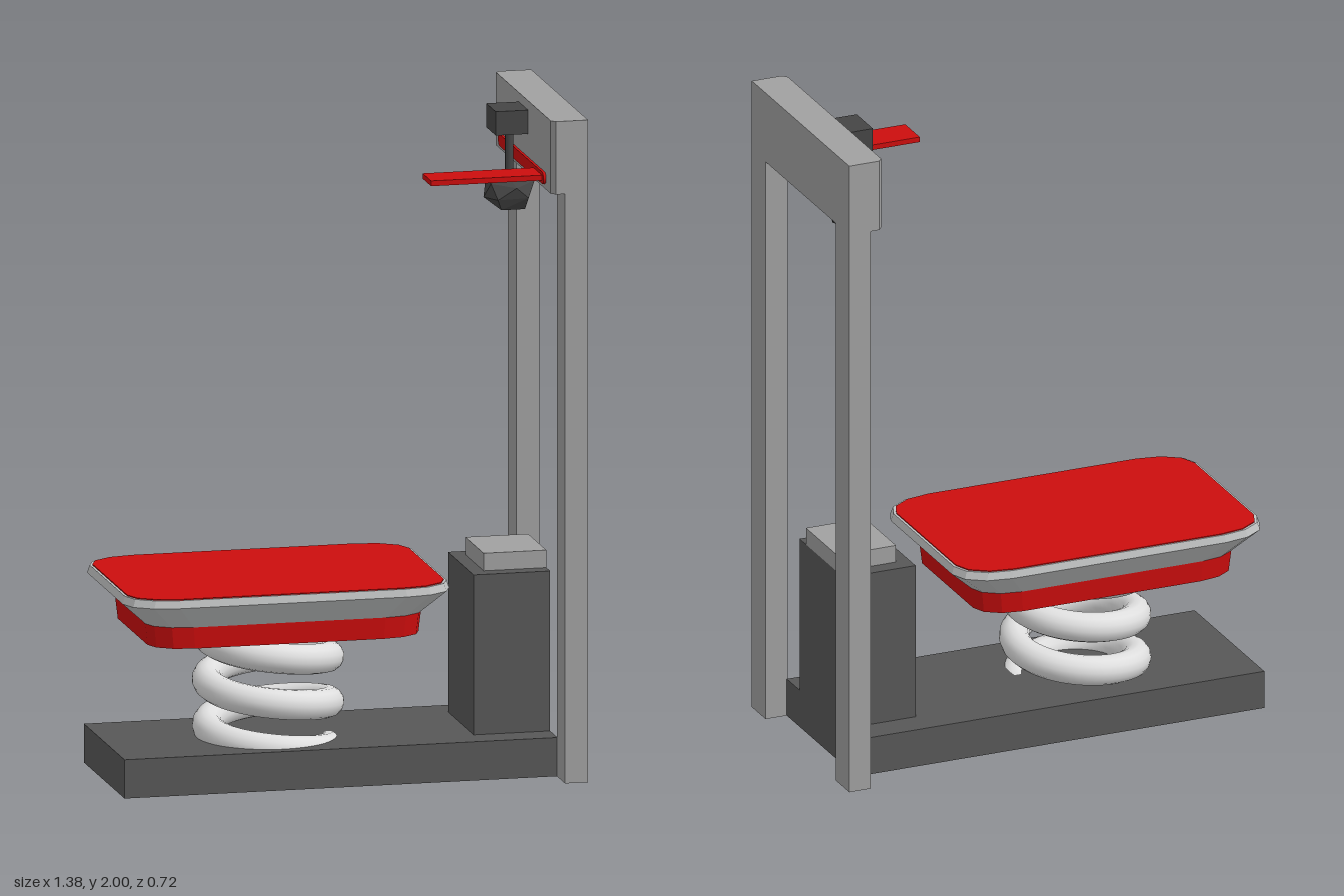
import * as THREE from 'three';
import { ConvexGeometry } from 'three/addons/geometries/ConvexGeometry.js';

function material(name, color) {
  const m = new THREE.MeshStandardMaterial({ color });
  m.name = name;
  return m;
}

// Rounded tray outline with faceted corners, as [x, z] offsets from its centre
function trayOutline() {
  const halfX = 0.495, halfZ = 0.325, cornerX = 0.15, cornerZ = 0.1, steps = 3;
  const points = [];
  [[1, 1], [-1, 1], [-1, -1], [1, -1]].forEach(([sx, sz], corner) => {
    for (let i = 0; i <= steps; i++) {
      const a = (corner + i / steps) * Math.PI / 2;
      points.push([
        sx * (halfX - cornerX) + Math.cos(a) * cornerX,
        sz * (halfZ - cornerZ) + Math.sin(a) * cornerZ,
      ]);
    }
  });
  return points;
}

// Closed, faceted solid from scaled copies of an outline; levels are [scale, y], bottom to top
function loft(outline, levels) {
  const pos = [];
  const n = outline.length;
  const at = ([s, y], i) => [outline[i % n][0] * s, y, outline[i % n][1] * s];
  const bottom = levels[0], top = levels[levels.length - 1];
  for (let i = 0; i < n; i++) {
    for (let k = 0; k < levels.length - 1; k++) {
      const a = at(levels[k], i), b = at(levels[k], i + 1);
      const c = at(levels[k + 1], i), d = at(levels[k + 1], i + 1);
      pos.push(...a, ...c, ...b, ...b, ...c, ...d);
    }
    pos.push(0, top[1], 0, ...at(top, i + 1), ...at(top, i));
    pos.push(0, bottom[1], 0, ...at(bottom, i), ...at(bottom, i + 1));
  }
  const geo = new THREE.BufferGeometry();
  geo.setAttribute('position', new THREE.Float32BufferAttribute(pos, 3));
  geo.computeVertexNormals();
  return geo;
}

// Coil rising around the vertical axis
class Helix extends THREE.Curve {
  getPoint(t, target = new THREE.Vector3()) {
    const a = -Math.PI + t * Math.PI * 6;
    return target.set(-0.18 * Math.cos(a), 0.14 + 0.1375 * a / (2 * Math.PI), -0.18 * Math.sin(a));
  }
}

export function createModel() {
  const model = new THREE.Group();
  const darkGrey = material('dark grey', 0x575757);
  const grey = material('frame grey', 0xa0a0a0);
  const charcoal = material('charcoal', 0x454545);
  const red = material('red', 0xcc0d0d);
  const silver = material('silver', 0xc0c2c2);
  const white = material('spring white', 0xdedede);

  function add(name, geometry, mat, x = 0, y = 0, z = 0) {
    const mesh = new THREE.Mesh(geometry, mat);
    mesh.name = name;
    mesh.position.set(x, y, z);
    model.add(mesh);
    return mesh;
  }
  // Box given by its extents
  function box(name, mat, x0, x1, y0, y1, z0, z1) {
    return add(name, new THREE.BoxGeometry(x1 - x0, y1 - y0, z1 - z0), mat,
      (x0 + x1) / 2, (y0 + y1) / 2, (z0 + z1) / 2);
  }

  // Base and pedestal
  box('base', darkGrey, -0.692, 0.622, 0, 0.117, -0.256, 0.256);
  box('pedestal', darkGrey, 0.39, 0.622, 0.117, 0.6, -0.163, 0.163);
  box('pedestalPlate', grey, 0.432, 0.622, 0.6, 0.653, -0.115, 0.115);

  // Upright frame
  for (const side of [-1, 1]) {
    const post = box(side > 0 ? 'frontPost' : 'rearPost', grey, 0.62, 0.69, 0, 1.78, 0.256, 0.358);
    post.position.z *= side;
  }
  // Cross beam, chamfered along its inner vertical edges
  const beam = new THREE.Shape([
    [0.69, -0.358], [0.69, 0.358], [0.592, 0.358], [0.58, 0.343], [0.58, -0.343], [0.592, -0.358],
  ].map(([x, z]) => new THREE.Vector2(x, -z)));
  const beamGeo = new THREE.ExtrudeGeometry(beam, { depth: 0.22, bevelEnabled: false });
  beamGeo.rotateX(-Math.PI / 2);
  add('crossBeam', beamGeo, grey, 0, 1.78, 0);

  // Coil spring
  add('spring', new THREE.TubeGeometry(new Helix(), 160, 0.045, 14), white, -0.195, 0, 0);

  // Tray on the spring
  const outline = trayOutline();
  add('traySkirt', loft(outline, [[0.83, 0.445], [0.845, 0.512]]), red, -0.195);
  add('trayRim', loft(outline, [[0.845, 0.51], [1, 0.58], [0.985, 0.603]]), silver, -0.195);
  add('trayTop', loft(outline, [[0.97, 0.598], [0.97, 0.606]]), red, -0.195);

  // Slide rail and pointer arm on the beam
  const rail = new THREE.Shape();
  rail.absarc(0.268, 0, 0.018, -Math.PI / 2, Math.PI / 2);
  rail.absarc(-0.268, 0, 0.018, Math.PI / 2, Math.PI * 1.5);
  const railGeo = new THREE.ExtrudeGeometry(rail, { depth: 0.009, bevelEnabled: false, curveSegments: 8 });
  railGeo.rotateY(-Math.PI / 2);
  add('slideRail', railGeo, red, 0.581, 1.812, 0);
  box('pointerArm', red, 0.235, 0.578, 1.804, 1.82, 0.16, 0.267);

  // Hanging striker: bracket, rod and faceted stone
  box('bracket', charcoal, 0.482, 0.582, 1.9, 1.972, -0.06, 0.06);
  add('rod', new THREE.CylinderGeometry(0.012, 0.012, 0.16, 10), charcoal, 0.537, 1.83, 0);
  const stone = [
    [-0.078, -0.013, 0.01], [-0.06, 0.03, 0.03], [-0.06, 0.028, -0.04], [-0.012, 0.058, 0.015],
    [0.0, 0.05, -0.045], [0.06, 0.054, 0.0], [0.076, 0.03, 0.012], [0.062, -0.01, -0.035],
    [0.03, 0.005, -0.075], [0.01, 0.02, 0.062], [0.05, -0.015, 0.045], [0.048, -0.056, 0.008],
    [-0.03, -0.05, 0.035], [-0.03, -0.048, -0.03], [0.01, -0.058, -0.035], [-0.045, -0.015, 0.056],
  ].map((p) => new THREE.Vector3(...p));
  add('stone', new ConvexGeometry(stone), charcoal, 0.535, 1.718, 0);

  return model;
}
